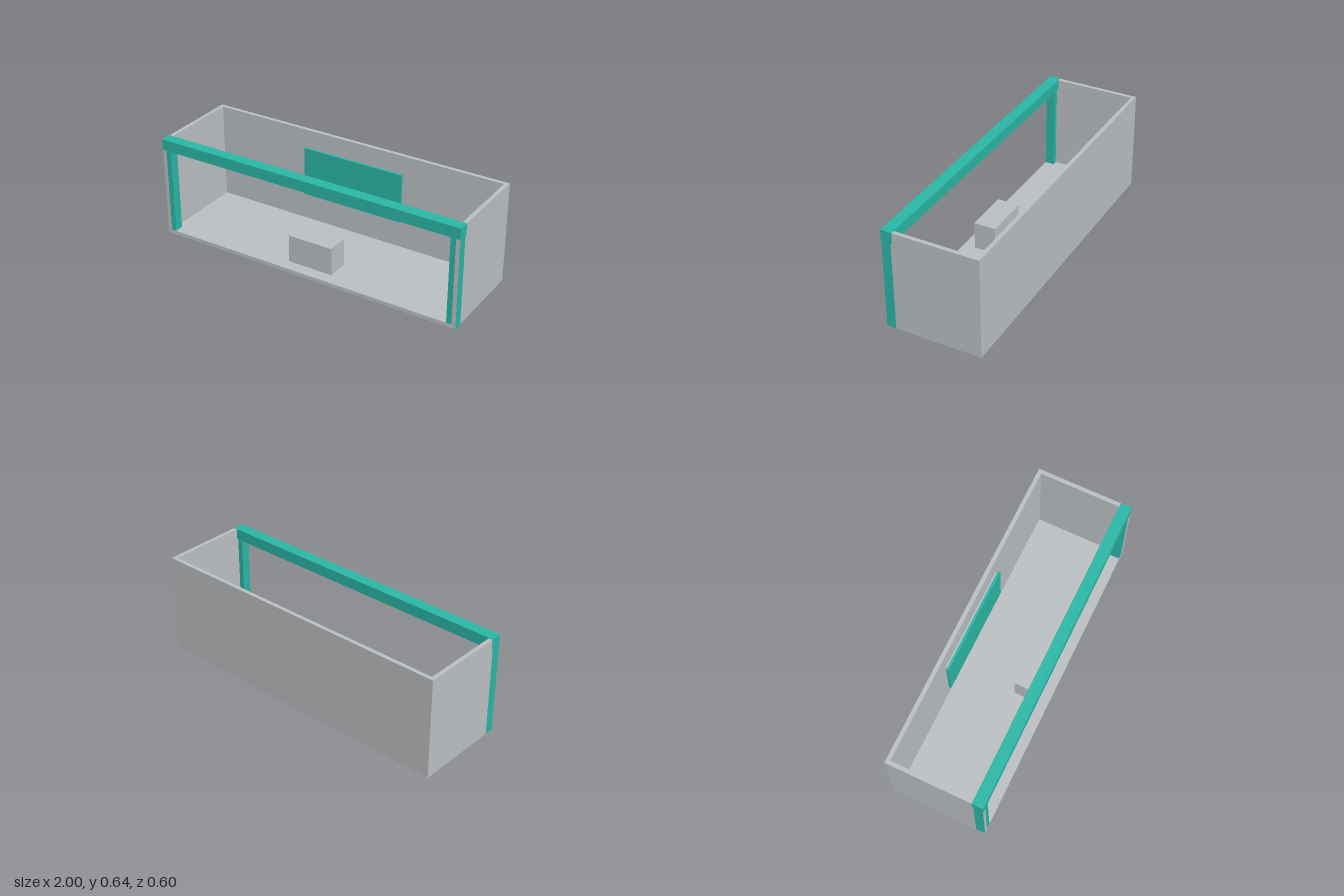
import * as THREE from 'three';

export function createModel() {
  const model = new THREE.Group();
  const grey = new THREE.MeshStandardMaterial({ color: 0xbcc0c3 });
  grey.name = 'light grey';
  const teal = new THREE.MeshStandardMaterial({ color: 0x2ab7a6 });
  teal.name = 'teal';

  // Box given by its min and max corners
  function box(name, material, [x0, y0, z0], [x1, y1, z1]) {
    const mesh = new THREE.Mesh(new THREE.BoxGeometry(x1 - x0, y1 - y0, z1 - z0), material);
    mesh.position.set((x0 + x1) / 2, (y0 + y1) / 2, (z0 + z1) / 2);
    mesh.name = name;
    model.add(mesh);
  }

  const wall = 0.025, height = 0.64;

  // Booth shell: floor, back wall and two side walls, open in front and on top
  box('floor', grey, [-1 + wall, 0, -0.3 + wall], [1 - wall, wall, 0.3]);
  box('backWall', grey, [-1, 0, -0.3], [1, height, -0.3 + wall]);
  for (const s of [-1, 1]) {
    const side = s < 0 ? 'right' : 'left';
    const span = (a, b) => (s > 0 ? [a, b] : [-b, -a]);
    const [w0, w1] = span(1 - wall, 1);
    box(side + 'Wall', grey, [w0, 0, -0.3 + wall], [w1, height, 0.3]);

    // Corner post wrapped around the wall's front end
    const [p0, p1] = span(0.942, 1.0005);
    box(side + 'Post', teal, [p0, 0.0005, 0.241], [p1, 0.6, 0.2992]);
  }

  // Header beam across the open front
  box('headerBeam', teal, [-1.001, 0.572, 0.232], [1.001, 0.642, 0.302]);

  // Wall display with its slightly smaller backing
  box('displayBacking', grey, [-0.33, 0.222, -0.267], [0.33, 0.522, -0.256]);
  box('displayPanel', teal, [-0.34, 0.213, -0.256], [0.34, 0.53, -0.241]);

  // Reception counter
  box('counter', grey, [-0.148, wall, 0.083], [0.148, 0.203, 0.224]);

  return model;
}
